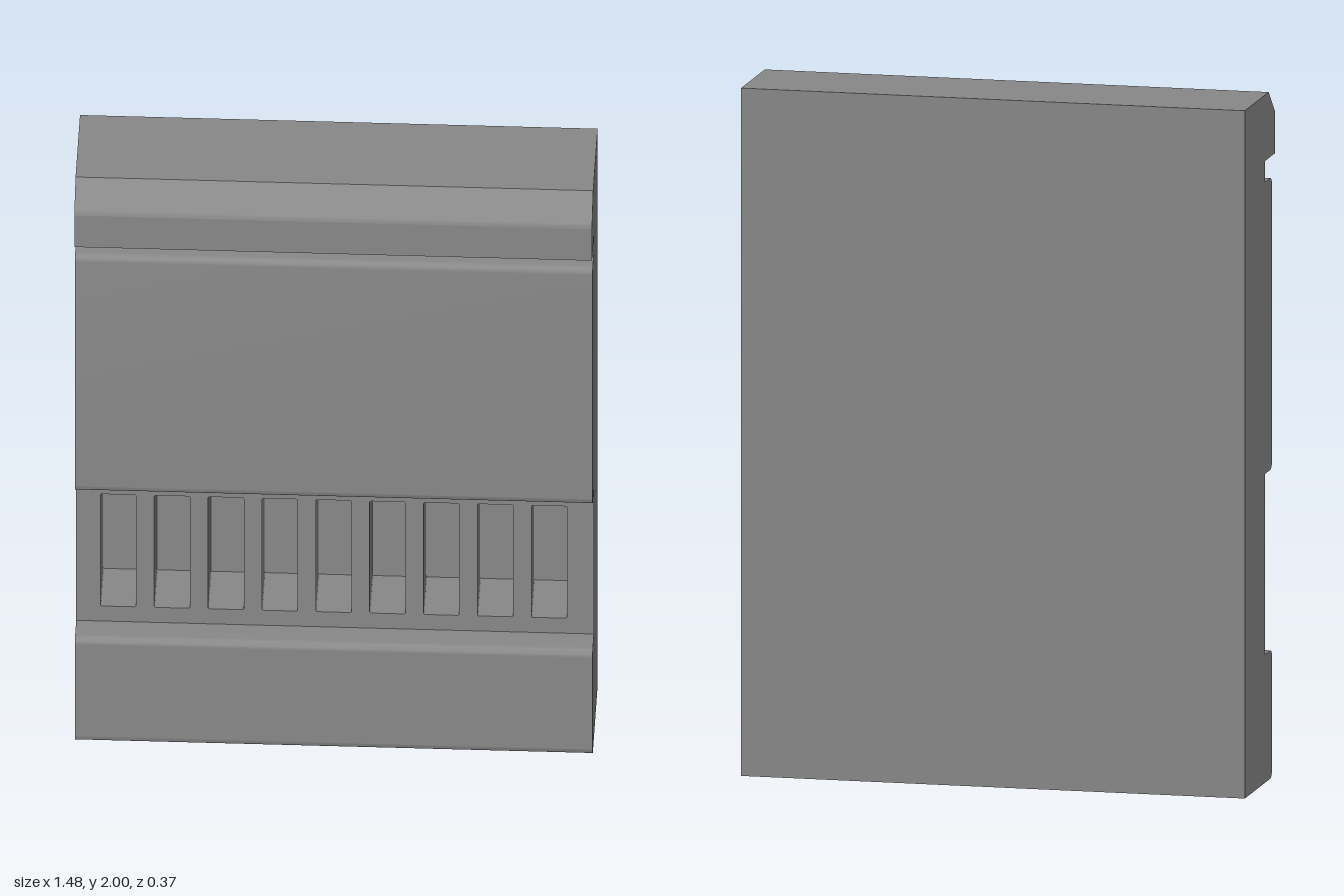
import * as THREE from 'three';
import { toCreasedNormals } from 'three/addons/utils/BufferGeometryUtils.js';

const W = 0.74, BACK = -0.185, RECESS = 0.062, PANEL = 0.147, CAP = 0.185;
const BAND_LOW = 0.373, BAND_HIGH = 0.898, SLOT_FLOOR = -0.115;
const H = Math.PI / 2;
const material = new THREE.MeshStandardMaterial({ color: 0x888888 });

function add(parent, name, geometry) {
  const mesh = new THREE.Mesh(geometry, material);
  mesh.name = name;
  parent.add(mesh);
}

// Outline points without near-duplicates
function outline(path) {
  const out = [];
  for (const p of path.getPoints(2)) {
    if (!out.length || p.distanceTo(out[out.length - 1]) > 1e-4) out.push(p);
  }
  return out;
}

// Wall swept along a line; place(p, t) returns the corner at t = 0 or 1
function strip(points, crease, place) {
  const pos = [];
  for (let i = 0; i < points.length - 1; i++) {
    const a = points[i], b = points[i + 1];
    const q = [place(a, 0), place(a, 1), place(b, 1), place(b, 0)];
    for (const k of [0, 1, 2, 0, 2, 3]) pos.push(...q[k]);
  }
  const g = new THREE.BufferGeometry();
  g.setAttribute('position', new THREE.Float32BufferAttribute(pos, 3));
  return toCreasedNormals(g, crease);
}

// Side profile (z, y), open along the slotted band;
// points at distance s from each rounding keep the large faces flat
function sideProfile() {
  const r = 0.02, s = 0.003, z = PANEL - r, top = 1.746;
  const p = new THREE.Path();
  p.moveTo(RECESS, BAND_HIGH);
  p.lineTo(z - s, BAND_HIGH);
  p.lineTo(z, BAND_HIGH);
  p.absarc(z, BAND_HIGH + r, r, -H, 0, false);
  p.lineTo(PANEL, BAND_HIGH + r + s);
  p.lineTo(PANEL, top - r - s);
  p.absarc(z, top - r, r, 0, H, false);
  p.lineTo(z - s, top);
  p.lineTo(RECESS, top);
  p.lineTo(RECESS, 1.808);
  p.lineTo(CAP, 1.808);
  // Cap with a softened chamfer edge
  p.lineTo(CAP, 1.919);
  p.lineTo(CAP, 1.922);
  p.quadraticCurveTo(CAP, 1.93, CAP - 0.0067, 1.936);
  p.lineTo(CAP - 0.0089, 1.938);
  p.lineTo(0.107, 2);
  p.lineTo(BACK, 2);
  p.lineTo(BACK, 0);
  p.lineTo(z - s, 0);
  p.lineTo(z, 0);
  p.absarc(z, r, r, -H, 0, false);
  p.lineTo(PANEL, r + s);
  p.lineTo(PANEL, BAND_LOW - r - s);
  p.absarc(z, BAND_LOW - r, r, 0, H, false);
  p.lineTo(z - s, BAND_LOW);
  p.lineTo(RECESS, BAND_LOW);
  return outline(p);
}

// Slot outline with slightly rounded corners, counter-clockwise
function slotOutline(cx) {
  const r = 0.005, x0 = cx - 0.051, x1 = cx + 0.051, y0 = 0.427, y1 = 0.829;
  const p = new THREE.Path();
  p.moveTo(x0 + r, y0);
  p.absarc(x1 - r, y0 + r, r, -H, 0, false);
  p.absarc(x1 - r, y1 - r, r, 0, H, false);
  p.absarc(x0 + r, y1 - r, r, H, 2 * H, false);
  p.absarc(x0 + r, y0 + r, r, 2 * H, 3 * H, false);
  return outline(p);
}

export function createModel() {
  const model = new THREE.Group();
  model.name = 'slottedWallPanel';

  // Body: swept profile plus two end faces
  const profile = sideProfile();
  add(model, 'bodyProfile', strip(profile, 0.6, (p, t) => [t ? W : -W, p.y, p.x]));
  for (const side of [-1, 1]) {
    const shape = new THREE.Shape(profile.map(p => new THREE.Vector2(-side * p.x, p.y)));
    const g = new THREE.ShapeGeometry(shape);
    g.rotateY(side * H).translate(side * W, 0, 0);
    add(model, side > 0 ? 'leftEnd' : 'rightEnd', g);
  }

  // Recessed band with nine slots
  const band = new THREE.Shape([
    new THREE.Vector2(-W, BAND_LOW), new THREE.Vector2(W, BAND_LOW),
    new THREE.Vector2(W, BAND_HIGH), new THREE.Vector2(-W, BAND_HIGH),
  ]);
  const slots = new THREE.Group();
  slots.name = 'slots';
  model.add(slots);
  for (let i = 0; i < 9; i++) {
    const points = slotOutline(-0.004 + (i - 4) * 0.154);
    band.holes.push(new THREE.Path(points));
    add(slots, 'slotWalls', strip([...points, points[0]], 0.1,
      (p, t) => [p.x, p.y, t ? RECESS : SLOT_FLOOR]));
    add(slots, 'slotBack', new THREE.ShapeGeometry(new THREE.Shape(points)).translate(0, 0, SLOT_FLOOR));
  }
  add(model, 'slottedBand', new THREE.ShapeGeometry(band).translate(0, 0, RECESS));

  return model;
}
